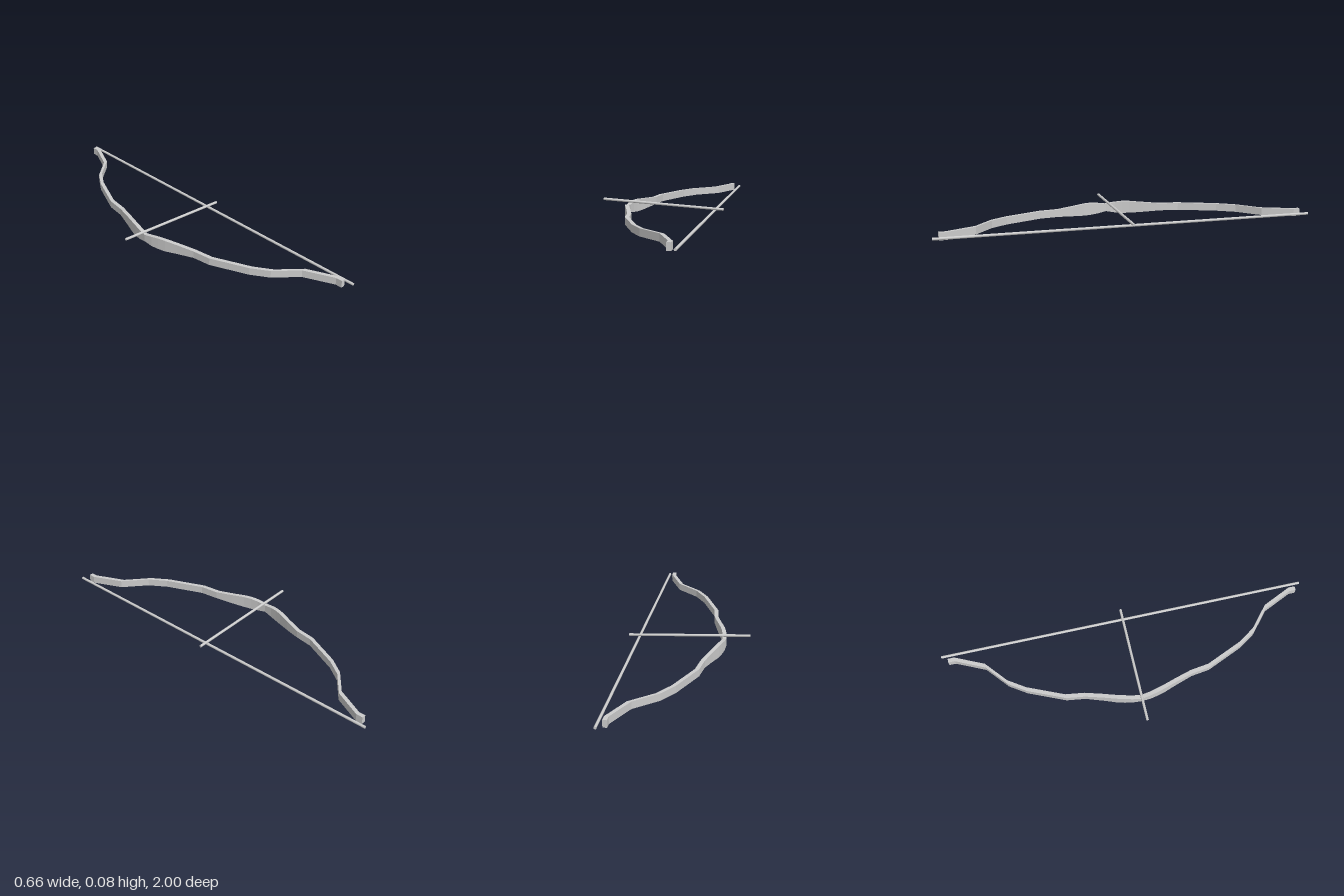
import * as THREE from 'three';

const material = new THREE.MeshStandardMaterial({ color: 0xcccccc });
const flat = new THREE.MeshStandardMaterial({ color: 0xcccccc, flatShading: true });

// Half of the bow, from grip to tip: [z, centre x, bottom y, top y]
const half = [
  [0, -0.19, 0.013, 0.053],
  [0.05, -0.184, 0.004, 0.061],
  [0.09, -0.175, 0.001, 0.065],
  [0.13, -0.164, 0.001, 0.065],
  [0.2, -0.14, 0.007, 0.06],
  [0.29, -0.112, 0.015, 0.054],
  [0.39, -0.098, 0.015, 0.054],
  [0.585, -0.013, 0.015, 0.054],
  [0.675, 0.047, 0.015, 0.054],
  [0.775, 0.165, 0.015, 0.054],
  [0.93, 0.237, 0.015, 0.054],
  [0.965, 0.237, 0.015, 0.054],
];
const HALF_WIDTH = 0.011;

// Rectangular cross-sections swept along z, closed at both tips
function bowGeometry() {
  const mirrored = half.slice(1).reverse().map(([z, ...rest]) => [-z, ...rest]);
  const sections = [...mirrored, ...half];
  const positions = [];
  const index = [];
  for (const [z, x, bottom, top] of sections) {
    positions.push(
      x - HALF_WIDTH, bottom, z, x + HALF_WIDTH, bottom, z,
      x + HALF_WIDTH, top, z, x - HALF_WIDTH, top, z);
  }
  for (let i = 0; i < sections.length - 1; i++) {
    for (let j = 0; j < 4; j++) {
      const a = i * 4 + j;
      const b = i * 4 + (j + 1) % 4;
      index.push(a, b, b + 4, a, b + 4, a + 4);
    }
  }
  const e = (sections.length - 1) * 4;
  index.push(0, 2, 1, 0, 3, 2, e, e + 1, e + 2, e, e + 2, e + 3);
  const geometry = new THREE.BufferGeometry();
  geometry.setAttribute('position', new THREE.Float32BufferAttribute(positions, 3));
  geometry.setIndex(index);
  geometry.computeVertexNormals();
  return geometry;
}

// Straight round rod between two points
function rod(name, from, to, radius) {
  const a = new THREE.Vector3(...from);
  const b = new THREE.Vector3(...to);
  const mesh = new THREE.Mesh(
    new THREE.CylinderGeometry(radius, radius, a.distanceTo(b), 24), material);
  mesh.position.copy(a).lerp(b, 0.5);
  mesh.quaternion.setFromUnitVectors(new THREE.Vector3(0, 1, 0), b.sub(a).normalize());
  mesh.name = name;
  return mesh;
}

export function createModel() {
  const group = new THREE.Group();
  group.name = 'bowAndArrow';

  const bow = new THREE.Mesh(bowGeometry(), flat);
  bow.name = 'bow';
  group.add(bow);

  // The string stands just behind the tips; the arrow slopes across the grip
  group.add(rod('bowstring', [0.273, 0.03, -1], [0.273, 0.03, 1], 0.007));
  group.add(rod('arrow', [-0.328, 0.079, 0], [0.327, 0.043, 0], 0.007));
  return group;
}
